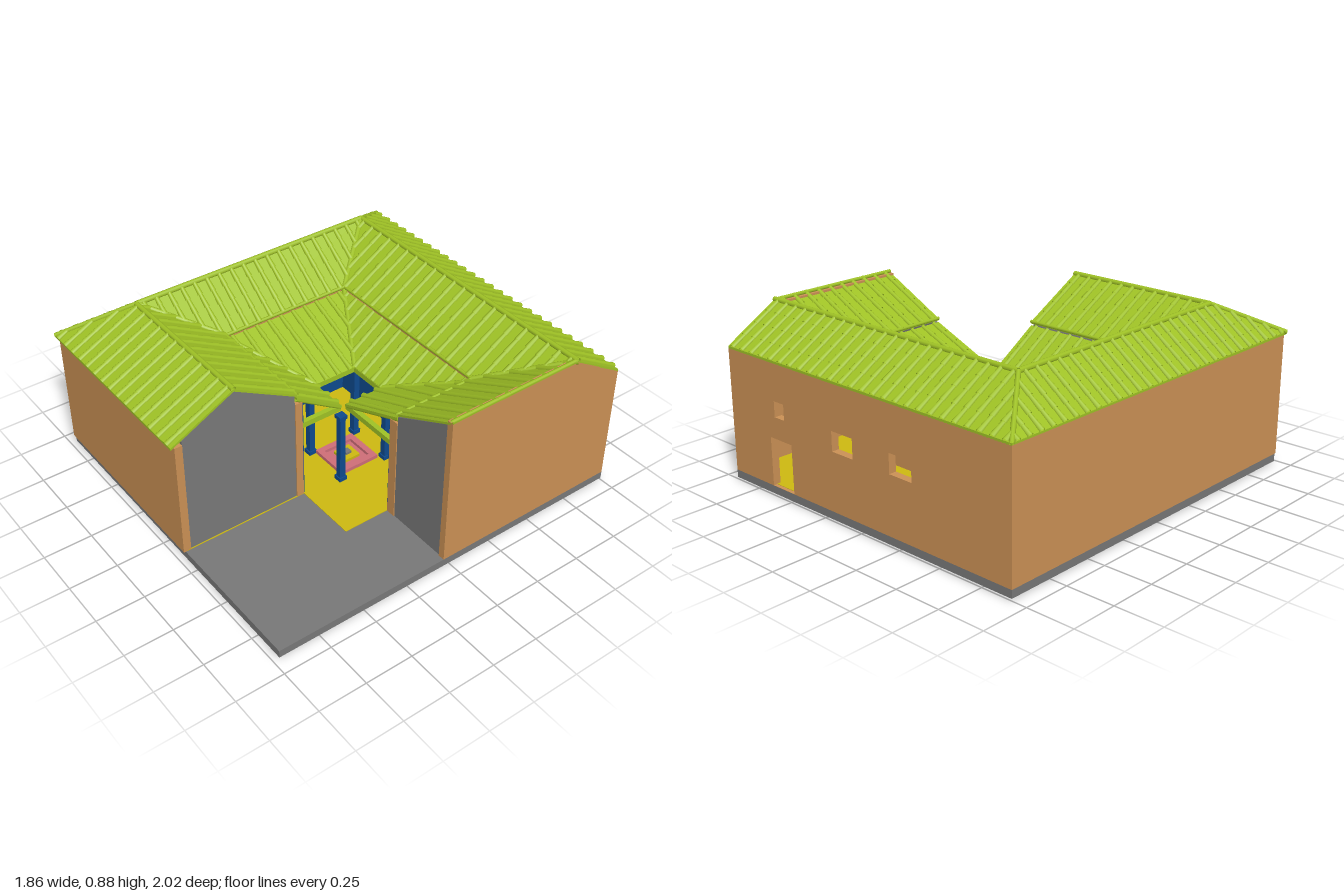
import * as THREE from 'three';
import { mergeGeometries } from 'three/addons/utils/BufferGeometryUtils.js';
import { ConvexGeometry } from 'three/addons/geometries/ConvexGeometry.js';

const mat = (name, color, side = THREE.FrontSide) => {
  const m = new THREE.MeshStandardMaterial({ color, side });
  m.name = name;
  return m;
};
const V = (x, y, z) => new THREE.Vector3(x, y, z);

export function createModel() {
  const house = new THREE.Group();
  house.name = 'courtyardHouse';
  const tile = mat('greenTile', 0x9fc225, THREE.DoubleSide);
  const plaster = mat('ochrePlaster', 0xcb9155);
  const stone = mat('greyStone', 0x787878);
  const blue = mat('bluePaint', 0x0e4a8e);
  const yellow = mat('yellowFloor', 0xcdb911);
  const pink = mat('pinkStone', 0xcf6e78);

  const add = (name, geo, material) => {
    const m = new THREE.Mesh(geo, material);
    m.name = name;
    house.add(m);
    return m;
  };
  // box given by its limits
  const box = (name, material, x0, x1, y0, y1, z0, z1) =>
    add(name, new THREE.BoxGeometry(x1 - x0, y1 - y0, z1 - z0)
      .translate((x0 + x1) / 2, (y0 + y1) / 2, (z0 + z1) / 2), material);
  // upright slab from an outline in (u, y); holes are [u0, u1, y0, y1]
  const slab = (outline, holes, depth) => {
    const s = new THREE.Shape(outline.map(p => new THREE.Vector2(...p)));
    for (const [a, b, c, d] of holes) {
      s.holes.push(new THREE.Path([[a, c], [a, d], [b, d], [b, c]].map(p => new THREE.Vector2(...p))));
    }
    return new THREE.ExtrudeGeometry(s, { depth, bevelEnabled: false });
  };
  const rect = (a, b, c, d) => [[a, c], [b, c], [b, d], [a, d]];
  // wall along x spanning z0..z1
  const wallX = (name, material, outline, z0, z1, holes = []) =>
    add(name, slab(outline, holes, z1 - z0).translate(0, 0, z0), material);
  // wall along z spanning x0..x1
  const wallZ = (name, material, outline, x0, x1, holes = []) =>
    add(name, slab(outline, holes, x1 - x0).rotateY(-Math.PI / 2).translate(x1, 0, 0), material);

  // plinth and indoor floor
  box('plinth', stone, -0.92, 0.92, 0.01, 0.05, -1, 0.97);
  const floor = new THREE.Shape([[-0.9, -0.98], [0.9, -0.98], [0.9, 0.03], [0.5, 0.03], [0.5, 0.29],
    [0.16, 0.29], [0.16, 0.96], [-0.9, 0.96]].map(p => new THREE.Vector2(...p)));
  add('indoorFloor', new THREE.ExtrudeGeometry(floor, { depth: 0.003, bevelEnabled: false })
    .rotateX(Math.PI / 2).translate(0, 0.053, 0), yellow);

  // outer walls
  wallX('backWall', plaster, rect(-0.92, 0.92, 0.05, 0.68), -1, -0.96,
    [[-0.34, -0.2, 0.35, 0.45], [0.04, 0.18, 0.35, 0.45], [0.475, 0.63, 0.051, 0.3], [0.52, 0.59, 0.41, 0.49]]);
  wallX('frontWall', plaster, rect(-0.92, 0.16, 0.05, 0.68), 0.94, 0.98);
  wallZ('sideWallRight', plaster, rect(-0.96, 0.94, 0.05, 0.68), -0.92, -0.88);
  wallZ('sideWallLeft', plaster,
    [[-1, 0.05], [0.04, 0.05], [0.04, 0.855], [-0.71, 0.855], [-1, 0.68]], 0.885, 0.92);

  // atrium walls, painted on the courtyard side
  const doorway = [[0.05, 0.14, 0.054, 0.3]];
  wallX('atriumBackWall', plaster, rect(-0.47, 0.55, 0.05, 0.62), -0.44, -0.39, doorway);
  wallX('atriumBackPaint', blue, rect(-0.42, 0.5, 0.053, 0.62), -0.39, -0.383, doorway);
  wallX('atriumFrontWall', plaster, rect(-0.47, 0.16, 0.05, 0.62), 0.29, 0.33);
  wallX('atriumFrontPaint', blue, rect(-0.42, 0.155, 0.053, 0.62), 0.283, 0.29);
  wallZ('atriumRightWall', plaster, rect(-0.39, 0.29, 0.05, 0.62), -0.47, -0.42);
  wallZ('atriumRightPaint', blue, rect(-0.39, 0.29, 0.053, 0.62), -0.42, -0.413);
  wallZ('atriumLeftWall', plaster, rect(-0.39, 0.04, 0.05, 0.62), 0.5, 0.55);
  wallZ('atriumLeftPaint', blue, rect(-0.39, 0.035, 0.053, 0.62), 0.493, 0.5);

  // grey partitions closing the cut wings
  wallZ('frontWingPartition', stone,
    [[0.33, 0.05], [0.94, 0.05], [0.94, 0.70], [0.66, 0.85], [0.33, 0.665]], 0.13, 0.155);
  wallX('leftWingPartition', stone,
    [[0.55, 0.05], [0.885, 0.05], [0.885, 0.83], [0.55, 0.655]], 0.01, 0.035);

  // panelled door inside the atrium
  box('atriumDoor', tile, -0.413, -0.405, 0.053, 0.28, 0.11, 0.2);
  for (const y of [0.07, 0.18]) {
    for (const z of [0.122, 0.162]) box('doorPanel', tile, -0.405, -0.399, y, y + 0.08, z, z + 0.026);
  }

  // roof slope: top edge a-b, bottom edge d-c; a slab with rows of overlapping cover tiles
  const slope = (name, a, b, c, d) => {
    const drop = V(0, -0.012, 0);
    add(name, new ConvexGeometry([a, b, c, d].flatMap(p => [p, p.clone().add(drop)])), tile);
    const along = b.clone().sub(a).normalize();
    const u = p => p.clone().sub(a).dot(along);
    const down = d.clone().sub(a).addScaledVector(along, -u(d));
    const length = down.length();
    const upDir = down.clone().normalize().negate();
    const normal = along.clone().cross(down).normalize();
    if (normal.y < 0) normal.negate();
    const basis = new THREE.Matrix4().makeBasis(upDir.clone().cross(normal), upDir, normal);
    const min = Math.min(0, u(d)), max = Math.max(u(b), u(c));
    const count = Math.round((max - min) / 0.072);
    const rolls = [];
    for (let i = 0; i < count; i++) {
      const s = min + (i + 0.5) * (max - min) / count;
      let lo = 0, hi = 1;
      // keep the row between the two slanted sides
      for (const [f0, f1] of [[s, -u(d)], [u(b) - s, u(c) - u(b)]]) {
        if (Math.abs(f1) < 1e-6) continue;
        if (f1 > 0) lo = Math.max(lo, -f0 / f1);
        else hi = Math.min(hi, -f0 / f1);
      }
      const span = (hi - lo) * length;
      if (span < 0.01) continue;
      const n = Math.ceil(span / 0.09);
      for (let k = 0; k < n; k++) {
        const t = lo + (hi - lo) * (k + 0.5) / n;
        rolls.push(new THREE.CylinderGeometry(0.011, 0.015, span / n, 5, 1, true, -Math.PI / 2, Math.PI)
          .applyMatrix4(basis)
          .translate(...a.clone().addScaledVector(along, s).addScaledVector(down, t).toArray()));
      }
    }
    add(name + 'Tiles', mergeGeometries(rolls), tile);
  };
  // round capping along hips, valleys and ridges
  const capping = (name, a, b, r = 0.012) =>
    add(name, new THREE.TubeGeometry(new THREE.LineCurve3(a, b), 1, r, 8), tile);

  const R = 0.862, E = 0.69, S = 0.675, T = 0.655, O = 0.49;
  // ridge corners
  const rBack = V(-0.69, R, -0.71), rFront = V(-0.69, R, 0.66), rCut = V(0.16, R, 0.66);
  const rLeft = V(0.92, R, -0.71), rLeftCut = V(0.92, R, 0.04);
  // the step between upper and lower inner slopes, then the roof opening
  const ring = y => ({ br: V(-0.44, y, -0.41), bl: V(0.55, y, -0.41), fr: V(-0.44, y, 0.32),
    cutL: V(0.55, y, 0.04), cutF: V(0.16, y, 0.32) });
  const up = ring(S), lowTop = ring(T);
  const open = { br: V(-0.05, O, -0.18), bl: V(0.16, O, -0.18), fr: V(-0.05, O, 0.06),
    cutL: V(0.16, O, 0.04), cutF: V(0.16, O, 0.06) };
  const eBack = V(-0.92, E, -1), eFront = V(-0.92, E, 1);

  slope('outerBackRoof', rBack, rLeft, V(0.92, E, -1), eBack);
  slope('outerRightRoof', rBack, rFront, eFront, eBack);
  slope('outerFrontRoof', rFront, rCut, V(0.16, E, 1), eFront);
  const inner = (name, a, b, keyA, keyB) => {
    slope(name + 'UpperRoof', a, b, up[keyB], up[keyA]);
    slope(name + 'LowerRoof', lowTop[keyA], lowTop[keyB], open[keyB], open[keyA]);
    capping(name + 'StepEdge', up[keyA], up[keyB], 0.009);
  };
  inner('innerBack', rBack, rLeft, 'br', 'bl');
  inner('innerRight', rBack, rFront, 'br', 'fr');
  inner('innerFront', rFront, rCut, 'fr', 'cutF');
  inner('innerLeft', rLeft, rLeftCut, 'bl', 'cutL');

  for (const [a, b] of [[rBack, rLeft], [rBack, rFront], [rFront, rCut]]) capping('ridge', a, b, 0.014);
  capping('leftRidge', V(0.911, R, -0.71), V(0.911, R, 0.04), 0.01);
  capping('hip', rBack, eBack);
  capping('hip', rFront, eFront);
  for (const [a, k] of [[rBack, 'br'], [rLeft, 'bl'], [rFront, 'fr']]) {
    capping('valley', a, up[k], 0.014);
    capping('valley', lowTop[k], open[k], 0.014);
  }
  // rafters along the cut edges
  const rafter = (a, b, dx, dz) => capping('rafter', a.clone().add(V(dx, -0.014, dz)), b.clone().add(V(dx, -0.014, dz)));
  rafter(lowTop.cutL, open.cutL, 0, -0.013);
  rafter(lowTop.cutF, open.cutF, -0.013, 0);

  // beams around the roof opening
  for (const [x0, x1, z0, z1] of [[-0.42, 0.5, -0.205, -0.178], [-0.42, 0.155, 0.062, 0.088],
    [0.16, 0.495, 0.01, 0.036], [-0.08, -0.053, -0.39, 0.288], [0.13, 0.156, 0.06, 0.288],
    [0.163, 0.19, -0.39, 0.036]]) box('beam', tile, x0, x1, 0.458, 0.488, z0, z1);

  // posts with base and capital
  for (const x of [-0.072, 0.182]) {
    for (const z of [-0.2, 0.08]) {
      const piece = (name, r, y0, y1) => box(name, blue, x - r, x + r, y0, y1, z - r, z + r);
      piece('post', 0.016, 0.053, 0.458);
      piece('postBase', 0.022, 0.053, 0.075);
      piece('postCapital', 0.022, 0.438, 0.458);
    }
  }
  box('pedestal', blue, 0.383, 0.403, 0.053, 0.14, -0.08, -0.06);

  // rain basin under the opening, with a small central fountain
  box('basinFloor', pink, -0.05, 0.165, 0, 0.056, -0.165, 0.063);
  const rim = slab(rect(-0.05, 0.165, -0.063, 0.165), [[-0.018, 0.133, -0.031, 0.133]], 0.02);
  add('basinRim', rim.rotateX(-Math.PI / 2).translate(0, 0.053, 0), pink);
  box('fountainBase', yellow, 0.01, 0.103, 0.056, 0.072, -0.1, -0.006);
  box('fountainStem', stone, 0.04, 0.073, 0.072, 0.085, -0.07, -0.037);

  return house;
}
